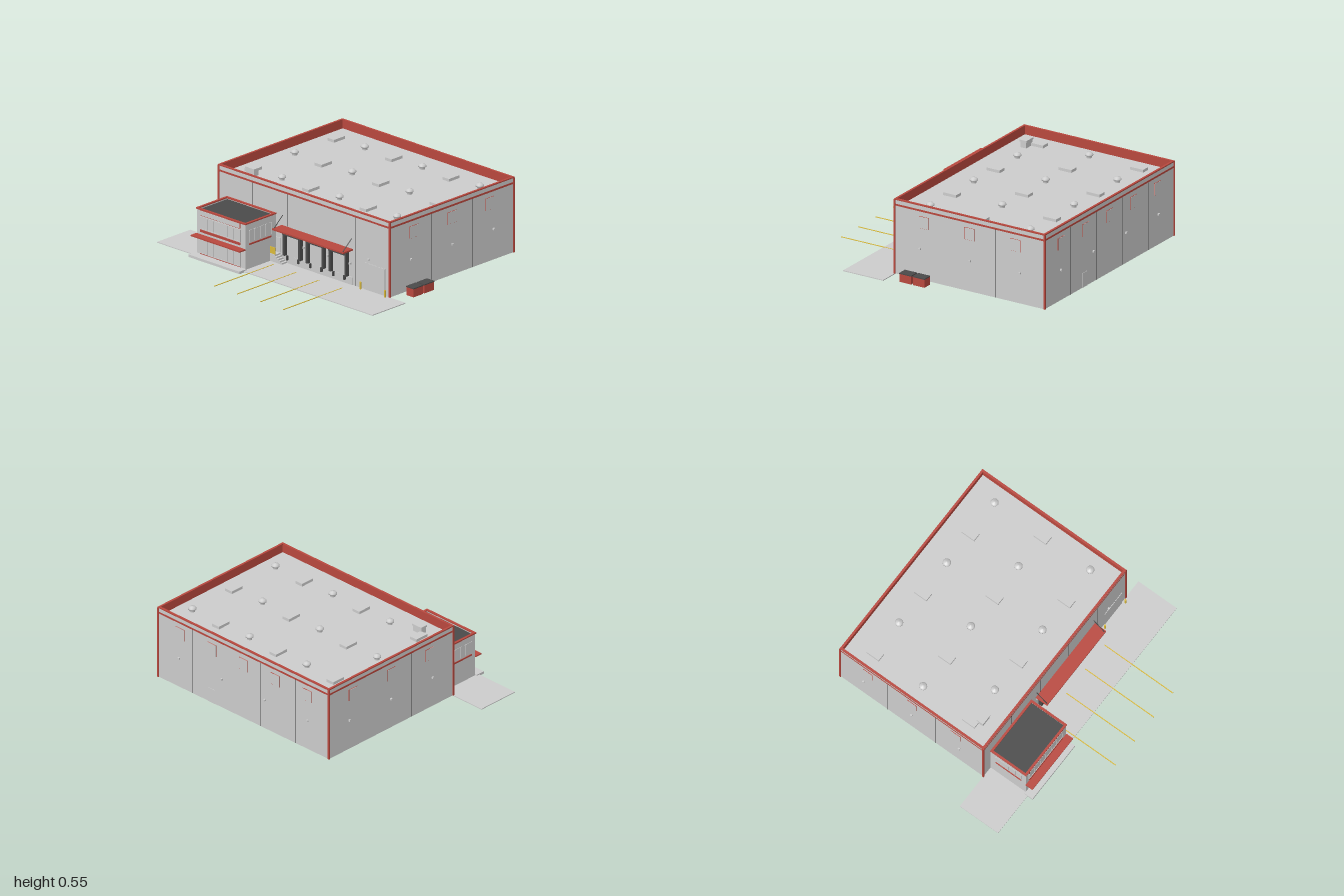
import * as THREE from 'three';

const mat = (color) => new THREE.MeshStandardMaterial({ color });

export function createModel() {
  const model = new THREE.Group();
  const grey = mat(0xcccccc), red = mat(0xb8483e), dark = mat(0x4a4a4a), yellow = mat(0xd9b93a);

  const group = (name) => {
    const g = new THREE.Group();
    g.name = name;
    model.add(g);
    return g;
  };
  const add = (parent, name, geometry, material, x, y, z) => {
    const m = new THREE.Mesh(geometry, material);
    m.name = name;
    m.position.set(x, y, z);
    parent.add(m);
    return m;
  };
  // Box given by its limits on each axis
  const box = (parent, name, x0, x1, y0, y1, z0, z1, material = grey) =>
    add(parent, name, new THREE.BoxGeometry(x1 - x0, y1 - y0, z1 - z0), material,
      (x0 + x1) / 2, (y0 + y1) / 2, (z0 + z1) / 2);
  // Four boxes round a rectangle
  const ring = (parent, name, x0, x1, y0, y1, z0, z1, t, material) => {
    box(parent, name, x0, x1, y0, y1, z0, z0 + t, material);
    box(parent, name, x0, x1, y0, y1, z1 - t, z1, material);
    box(parent, name, x0, x0 + t, y0, y1, z0 + t, z1 - t, material);
    box(parent, name, x1 - t, x1, y0, y1, z0 + t, z1 - t, material);
  };
  const rod = (parent, name, a, b, r, material) => {
    const p = new THREE.Vector3(...a), q = new THREE.Vector3(...b);
    const d = q.clone().sub(p);
    const m = add(parent, name, new THREE.CylinderGeometry(r, r, d.length(), 8), material, 0, 0, 0);
    m.position.copy(p).addScaledVector(d, 0.5);
    m.quaternion.setFromUnitVectors(new THREE.Vector3(0, 1, 0), d.normalize());
  };

  // Warehouse shell, open underneath
  const X0 = -0.735, X1 = 0.855, Z0 = -0.925, Z1 = 0.27, G = 0.01, TOP = 0.545, ROOF = 0.485;
  const shell = group('warehouse');
  ring(shell, 'wall', X0, X1, G, TOP, Z0, Z1, 0.008, grey);
  box(shell, 'roof', X0 + 0.004, X1 - 0.004, ROOF - 0.008, ROOF, Z0 + 0.004, Z1 - 0.004);
  ring(shell, 'parapetLining', X0 + 0.007, X1 - 0.007, ROOF, TOP, Z0 + 0.007, Z1 - 0.007, 0.003, red);
  ring(shell, 'coping', X0 - 0.004, X1 + 0.004, TOP - 0.003, TOP + 0.005, Z0 - 0.004, Z1 + 0.004, 0.016, red);
  ring(shell, 'wallBand', X0 - 0.002, X1 + 0.002, 0.5, 0.513, Z0 - 0.002, Z1 + 0.002, 0.006, red);
  for (const x of [X0, X1]) for (const z of [Z0, Z1])
    box(shell, 'cornerTrim', x - 0.006, x + 0.006, G, TOP, z - 0.006, z + 0.006, red);

  // Panel seams
  for (const x of [-0.42, -0.1, 0.22, 0.54]) for (const z of [Z0, Z1])
    box(shell, 'panelSeam', x - 0.0015, x + 0.0015, G, 0.5, z - 0.001, z + 0.001, dark);
  for (const z of [-0.13, -0.53]) for (const x of [X0, X1])
    box(shell, 'panelSeam', x - 0.001, x + 0.001, G, 0.5, z - 0.0015, z + 0.0015, dark);

  // High windows: red frame edge behind a flush pane
  const windows = group('highWindows');
  for (const z of [0.04, -0.327, -0.693]) for (const [x, s] of [[X0, -1], [X1, 1]]) {
    add(windows, 'windowFrame', new THREE.BoxGeometry(0.008, 0.086, 0.082), red, x, 0.423, z);
    add(windows, 'windowPane', new THREE.BoxGeometry(0.002, 0.084, 0.08), grey, x + s * 0.004, 0.423, z);
  }
  for (let i = -2; i <= 2; i++) {
    const x = 0.06 + i * 0.296;
    add(windows, 'windowFrame', new THREE.BoxGeometry(0.082, 0.086, 0.008), red, x, 0.423, Z0);
    add(windows, 'windowPane', new THREE.BoxGeometry(0.08, 0.084, 0.002), grey, x, 0.423, Z0 - 0.004);
  }

  // Wall lamps
  const lamps = group('wallLamps');
  const lamp = (x, y, z) => add(lamps, 'wallLamp', new THREE.BoxGeometry(0.013, 0.013, 0.013), grey, x, y, z);
  for (const z of [0.07, -0.33, -0.73]) for (const x of [X0 - 0.006, X1 + 0.006]) lamp(x, 0.23, z);
  for (const x of [-0.54, -0.14, 0.26, 0.66]) {
    lamp(x, 0.23, Z0 - 0.006);
    if (x > -0.5) lamp(x, 0.23, Z1 + 0.006);
  }
  for (const x of [0.06, 0.28, 0.49]) lamp(x, 0.16, Z1 + 0.006);

  // Roof lights and domed vents in a chequered grid
  const roofItems = group('roofItems');
  const ventProfile = [[0.018, 0], [0.018, 0.018], [0.028, 0.018], [0.028, 0.026], [0.02, 0.036], [0, 0.042]]
    .map(([r, y]) => new THREE.Vector2(r, y));
  const ventGeometry = new THREE.LatheGeometry(ventProfile, 20);
  [-0.73, -0.33, 0.07].forEach((z, row) => {
    for (let i = 0; i < 6; i++) {
      const x = -0.607 + i * 0.267;
      if ((i + row) % 2) add(roofItems, 'roofVent', ventGeometry, grey, x, ROOF, z);
      else box(roofItems, 'skylight', x - 0.031, x + 0.031, ROOF, ROOF + 0.02, z - 0.052, z + 0.052);
    }
  });
  box(roofItems, 'airUnit', -0.59, -0.515, ROOF, ROOF + 0.042, 0.113, 0.157);
  box(roofItems, 'airUnitCap', -0.595, -0.51, ROOF + 0.042, ROOF + 0.055, 0.108, 0.162);

  // Office block with dark roof and red coping
  const office = group('office');
  const L = -0.655, R = -0.205, F = 0.565;
  box(office, 'officeWalls', L, R, G, 0.322, Z1, F);
  box(office, 'officeRoof', L + 0.01, R - 0.01, 0.322, 0.325, Z1, F - 0.01, dark);
  ring(office, 'officeParapet', L, R, 0.322, 0.335, Z1, F, 0.01, grey);
  ring(office, 'officeCoping', L - 0.005, R + 0.005, 0.332, 0.341, Z1, F + 0.005, 0.016, red);
  box(office, 'signFrame', -0.62, -0.25, 0.294, 0.336, F, F + 0.006, red);
  box(office, 'signPanel', -0.617, -0.253, 0.297, 0.331, F + 0.005, F + 0.008);
  box(office, 'frontBand', -0.62, -0.25, 0.176, 0.193, F, F + 0.006, red);
  for (const x of [L, R]) box(office, 'sideBand', x - 0.005, x + 0.005, 0.179, 0.19, 0.315, 0.528, red);
  box(office, 'entranceCanopy', L - 0.003, R + 0.003, 0.149, 0.158, F, 0.622, red);
  box(office, 'frontStep', -0.67, -0.195, 0, 0.018, F, 0.632);
  box(office, 'baseTrim', -0.62, -0.25, 0.018, 0.024, F, F + 0.004, red);
  // Glazing rows with mullions
  for (const [y0, y1] of [[0.025, 0.14], [0.2, 0.285]]) {
    box(office, 'frontGlass', -0.62, -0.25, y0, y1, F, F + 0.002);
    for (let i = 0; i <= 6; i++) {
      const x = -0.62 + i * 0.37 / 6;
      box(office, 'mullion', x - 0.003, x + 0.003, y0, y1, F, F + 0.005);
    }
    for (const y of [y0, y1]) box(office, 'transom', -0.623, -0.247, y - 0.002, y + 0.002, F, F + 0.005);
  }
  for (const x of [L, R]) {
    box(office, 'sideGlass', x - 0.002, x + 0.002, 0.2, 0.285, 0.315, 0.528);
    for (let i = 0; i <= 4; i++) {
      const z = 0.315 + i * 0.213 / 4;
      box(office, 'sideMullion', x - 0.005, x + 0.005, 0.2, 0.285, z - 0.003, z + 0.003);
    }
  }

  // Loading docks
  const docks = group('loadingDocks');
  box(docks, 'dockPlinth', -0.15, 0.51, G, 0.065, Z1, Z1 + 0.006);
  for (const x of [-0.035, 0.18, 0.393]) {
    box(docks, 'dockDoor', x - 0.065, x + 0.065, 0.065, 0.215, Z1, Z1 + 0.004);
    box(docks, 'sealHeader', x - 0.082, x + 0.082, 0.214, 0.236, Z1, 0.3, dark);
    for (const s of [-1, 1]) {
      box(docks, 'sealPost', x + s * 0.073 - 0.009, x + s * 0.073 + 0.009, 0.065, 0.214, Z1, 0.297, dark);
      box(docks, 'bumper', x + s * 0.052 - 0.006, x + s * 0.052 + 0.006, 0.035, 0.066, Z1, 0.29, dark);
    }
  }
  box(docks, 'dockCanopy', -0.15, 0.512, 0.256, 0.267, Z1, 0.365, red);
  for (const x of [-0.14, 0.5]) rod(docks, 'canopyTie', [x, 0.34, Z1], [x, 0.265, 0.358], 0.003, dark);

  // Stair to the side door
  const stair = group('dockStair');
  box(stair, 'landing', -0.205, -0.16, G, 0.065, Z1, 0.325);
  for (let i = 0; i < 4; i++)
    box(stair, 'step', -0.16 + i * 0.016, -0.144 + i * 0.016, G, 0.054 - i * 0.011, Z1, 0.325);
  box(stair, 'guardPanel', -0.205, -0.16, 0.067, 0.114, 0.321, 0.325, yellow);
  box(stair, 'sideDoor', -0.2, -0.162, 0.065, 0.17, Z1, Z1 + 0.003);

  // Drive-in door, bollards and rear door
  const doors = group('groundDoors');
  box(doors, 'driveInFrame', 0.617, 0.813, G, 0.203, Z1, Z1 + 0.002);
  box(doors, 'driveInDoor', 0.62, 0.81, G, 0.2, Z1, Z1 + 0.004);
  for (const x of [0.6, 0.827])
    add(doors, 'bollard', new THREE.CylinderGeometry(0.007, 0.007, 0.05, 12), yellow, x, 0.035, 0.29);
  box(doors, 'rearDoor', 0.33, 0.39, G, 0.115, Z0 - 0.003, Z0);

  // Waste bins
  const bins = group('wasteBins');
  for (const z of [0.007, 0.113]) {
    box(bins, 'bin', 0.902, 0.968, G, 0.068, z - 0.046, z + 0.046, red);
    box(bins, 'binLid', 0.9, 0.97, 0.068, 0.075, z - 0.048, z + 0.048, dark);
  }

  // Forecourt and bay lines
  const yard = group('yard');
  box(yard, 'apron', -1, 1, 0.004, 0.01, Z1, 0.59);
  for (const x of [-0.141, 0.072, 0.286, 0.5])
    box(yard, 'bayLine', x - 0.003, x + 0.003, 0.008, 0.012, 0.36, 0.932, yellow);

  return model;
}
